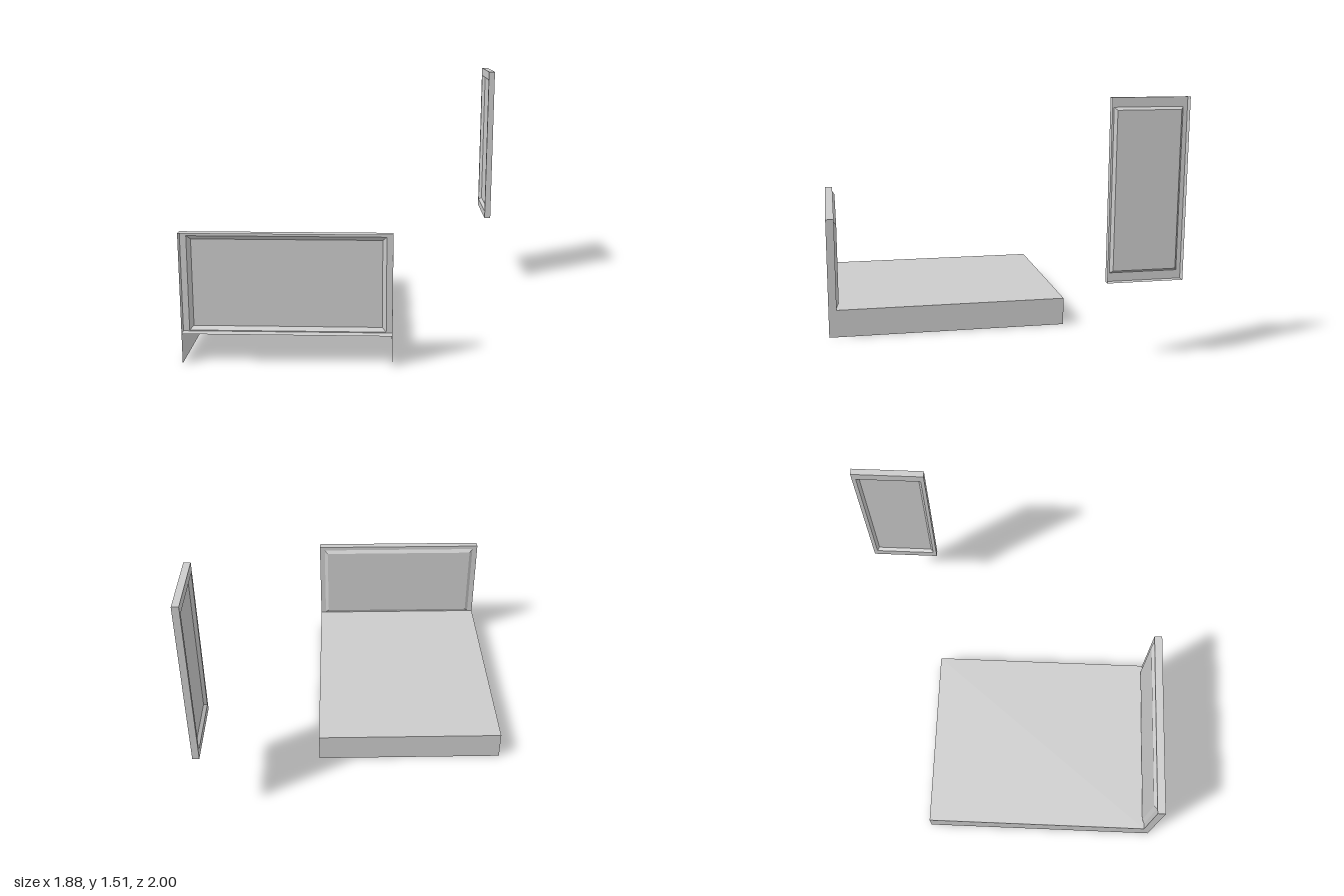
import * as THREE from 'three';

const material = new THREE.MeshStandardMaterial({ color: 0xcccccc, flatShading: true, side: THREE.DoubleSide });

// Joins rectangular loops [x0, x1, y0, y1, z] in order and caps the last one (facing +z)
function loftRectangles(loops) {
  const pos = [];
  const corners = ([x0, x1, y0, y1, z]) => [[x0, y0, z], [x1, y0, z], [x1, y1, z], [x0, y1, z]];
  const quad = (a, b, c, d) => pos.push(...a, ...b, ...c, ...a, ...c, ...d);
  const rings = loops.map(corners);
  for (let r = 0; r < rings.length - 1; r++) {
    for (let i = 0; i < 4; i++) {
      const j = (i + 1) % 4;
      quad(rings[r][i], rings[r][j], rings[r + 1][j], rings[r + 1][i]);
    }
  }
  quad(...rings[rings.length - 1]);
  const geo = new THREE.BufferGeometry();
  geo.setAttribute('position', new THREE.Float32BufferAttribute(pos, 3));
  geo.computeVertexNormals();
  return geo;
}

// Thin shell panel: side walls, flat border, bevel and centre field, open at its back
function bevelledPanel(name, outer, inner, depth, bevel, offset) {
  const [x0, x1, y0, y1] = inner;
  const mesh = new THREE.Mesh(loftRectangles([
    [...outer, -depth],
    [...outer, 0],
    [...inner, 0],
    [x0 + bevel, x1 - bevel, y0 + bevel, y1 - bevel, offset],
  ]), material);
  mesh.name = name;
  return mesh;
}

function sheet(name, w, h, x, y, z, rx = 0, ry = 0) {
  const mesh = new THREE.Mesh(new THREE.PlaneGeometry(w, h), material);
  mesh.name = name;
  mesh.position.set(x, y, z);
  mesh.rotation.set(rx, ry, 0);
  return mesh;
}

export function createModel() {
  const model = new THREE.Group();
  model.name = 'bedAndWallPanel';

  // Bed base: shell open underneath and at the headboard end
  const left = 0.23, right = -0.94, height = 0.175, foot = -0.5, face = 0.95;
  const width = left - right, midX = (left + right) / 2;
  const base = new THREE.Group();
  base.name = 'bedBase';
  base.add(
    sheet('baseTop', width, face - foot, midX, height, (face + foot) / 2, -Math.PI / 2),
    sheet('footEnd', width, height, midX, height / 2, foot, 0, Math.PI),
    sheet('leftSide', 1 - foot, height, left, height / 2, (1 + foot) / 2, 0, Math.PI / 2),
    sheet('rightSide', 1 - foot, height, right, height / 2, (1 + foot) / 2, 0, -Math.PI / 2),
  );
  model.add(base);

  // Headboard: raised field facing the bed, open on the far side
  const headboard = bevelledPanel('headboard', [-left, -right, height, 0.75],
    [-0.195, 0.905, 0.18, 0.725], 0.05, 0.022, 0.015);
  headboard.position.z = face;
  headboard.rotation.y = Math.PI;
  model.add(headboard);

  // Hanging wall panel: sunken field facing the bed, open on the far side
  const wallPanel = bevelledPanel('wallPanel', [-1, -0.555, 0.475, 1.515],
    [-0.975, -0.577, 0.525, 1.46], 0.04, 0.015, -0.02);
  wallPanel.position.x = 0.9;
  wallPanel.rotation.y = -Math.PI / 2;
  model.add(wallPanel);

  return model;
}
